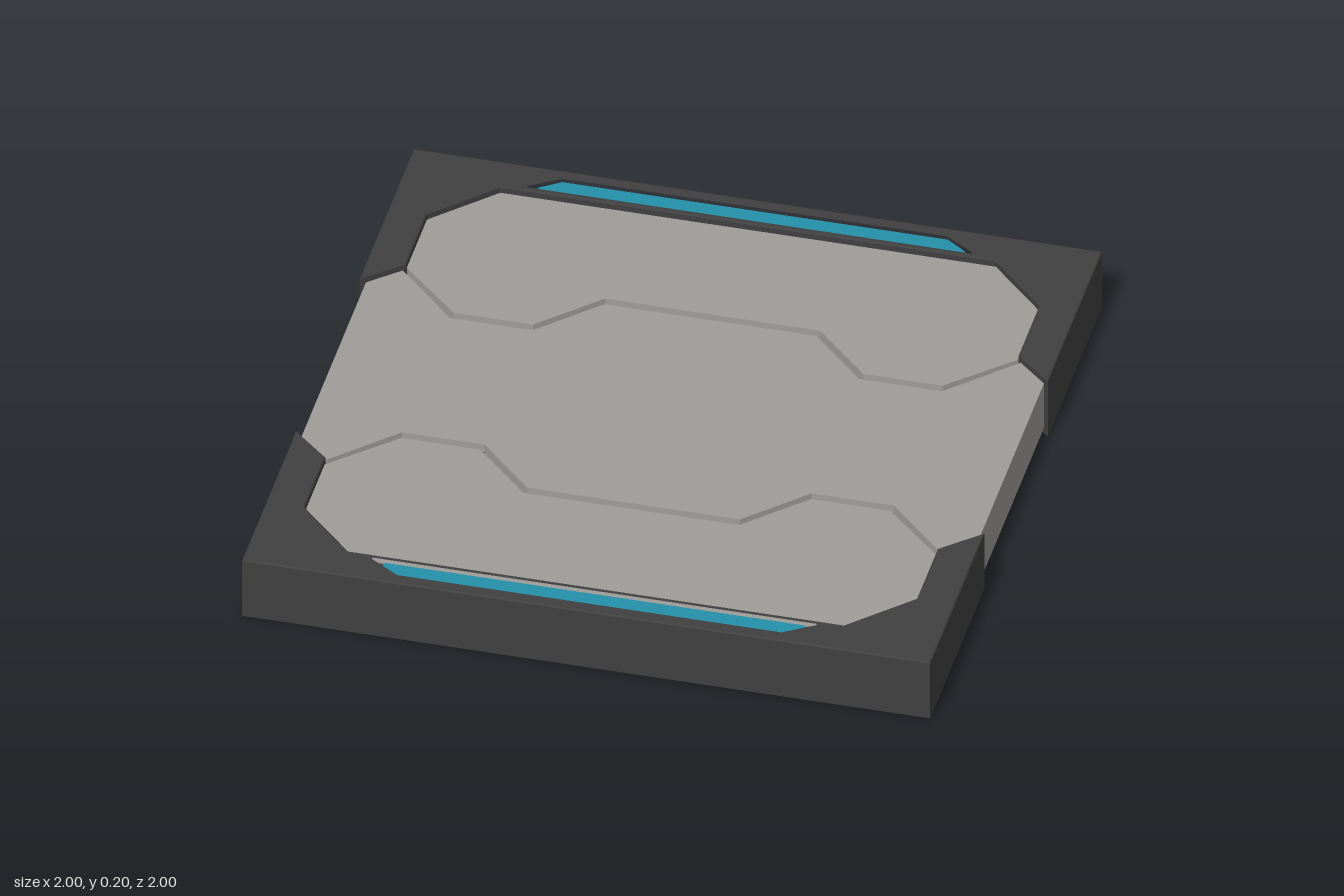
import * as THREE from 'three';

const mat = (name, color) => {
  const m = new THREE.MeshStandardMaterial({ color });
  m.name = name;
  return m;
};

// Mirrors a half outline (x > 0) across x = 0 into a closed outline.
const mirrorX = (half) => [...half, ...half.map(([x, z]) => [-x, z]).reverse()];
const vectors = (pts) => pts.map(([x, z]) => new THREE.Vector2(x, z));

// Horizontal plate from an (x, z) outline between two heights, with an optional fine bevel.
function plate(name, outline, y0, y1, material, { holes = [], bevel = 0 } = {}) {
  const shape = new THREE.Shape(vectors(outline));
  for (const h of holes) shape.holes.push(new THREE.Path(vectors(h)));
  const geo = new THREE.ExtrudeGeometry(shape, {
    depth: y1 - y0 - 2 * bevel,
    bevelEnabled: bevel > 0,
    bevelSize: bevel,
    bevelThickness: bevel,
    bevelOffset: -bevel,
    bevelSegments: 1,
  });
  geo.rotateX(Math.PI / 2);
  geo.translate(0, y1 - bevel, 0);
  const mesh = new THREE.Mesh(geo, material);
  mesh.name = name;
  return mesh;
}

export function createModel() {
  const grey = mat('panel grey', 0x9e9d9a);
  const dark = mat('frame charcoal', 0x404040);
  const cyan = mat('light cyan', 0x2390aa);

  const model = new THREE.Group();
  model.name = 'floorTile';

  // Core: the floor of the grooves on both faces
  const core = new THREE.Mesh(new THREE.BoxGeometry(1.76, 0.09, 1.72), grey);
  core.name = 'core';
  core.position.y = 0.1;
  model.add(core);

  // Middle panel with stepped front and back edges
  const edge = [[0.985, 0.383], [0.9, 0.465], [0.715, 0.278], [0.475, 0.278], [0.308, 0.446]];
  const frontEdge = mirrorX(edge);
  const middle = [...frontEdge, ...frontEdge.map(([x, z]) => [-x, -z])];
  model.add(plate('middlePanel', middle, 0.022, 0.178, grey));

  // One end of the tile, reused at the back
  const slot = mirrorX([[0.56, 0.967], [0.65, 0.908], [0.65, 0.896]]);
  const frame = mirrorX([[1, 1], [1, 0.37], [0.89, 0.47], [0.89, 0.712], [0.72, 0.885]]);
  const endPanel = mirrorX([[0.72, 0.887], [0.892, 0.714], [0.892, 0.48],
    [0.71, 0.304], [0.48, 0.304], [0.313, 0.472]]);
  const light = mirrorX([[0.56, 0.967], [0.62, 0.925], [0.61, 0.896]]);

  for (const side of ['front', 'back']) {
    const end = new THREE.Group();
    end.name = side + 'End';
    end.rotation.y = side === 'front' ? 0 : Math.PI;
    end.add(
      plate('cornerFrame', frame, 0, 0.2, dark, { holes: [slot], bevel: 0.004 }),
      plate('endPanel', endPanel, 0.022, 0.178, grey),
      plate('slotBase', slot, 0.02, 0.18, dark),
      plate('lightStrip', light, 0.015, 0.185, cyan),
    );
    // Dark inlays along the straight runs of the groove, on both faces
    for (const [x, z, w] of [[0, 0.459, 0.62], [0.595, 0.291, 0.24], [-0.595, 0.291, 0.24]]) {
      for (const y of [0.147, 0.053]) {
        const inlay = new THREE.Mesh(new THREE.BoxGeometry(w, 0.008, 0.026), dark);
        inlay.name = 'grooveInlay';
        inlay.position.set(x, y, z);
        end.add(inlay);
      }
    }
    model.add(end);
  }
  return model;
}
